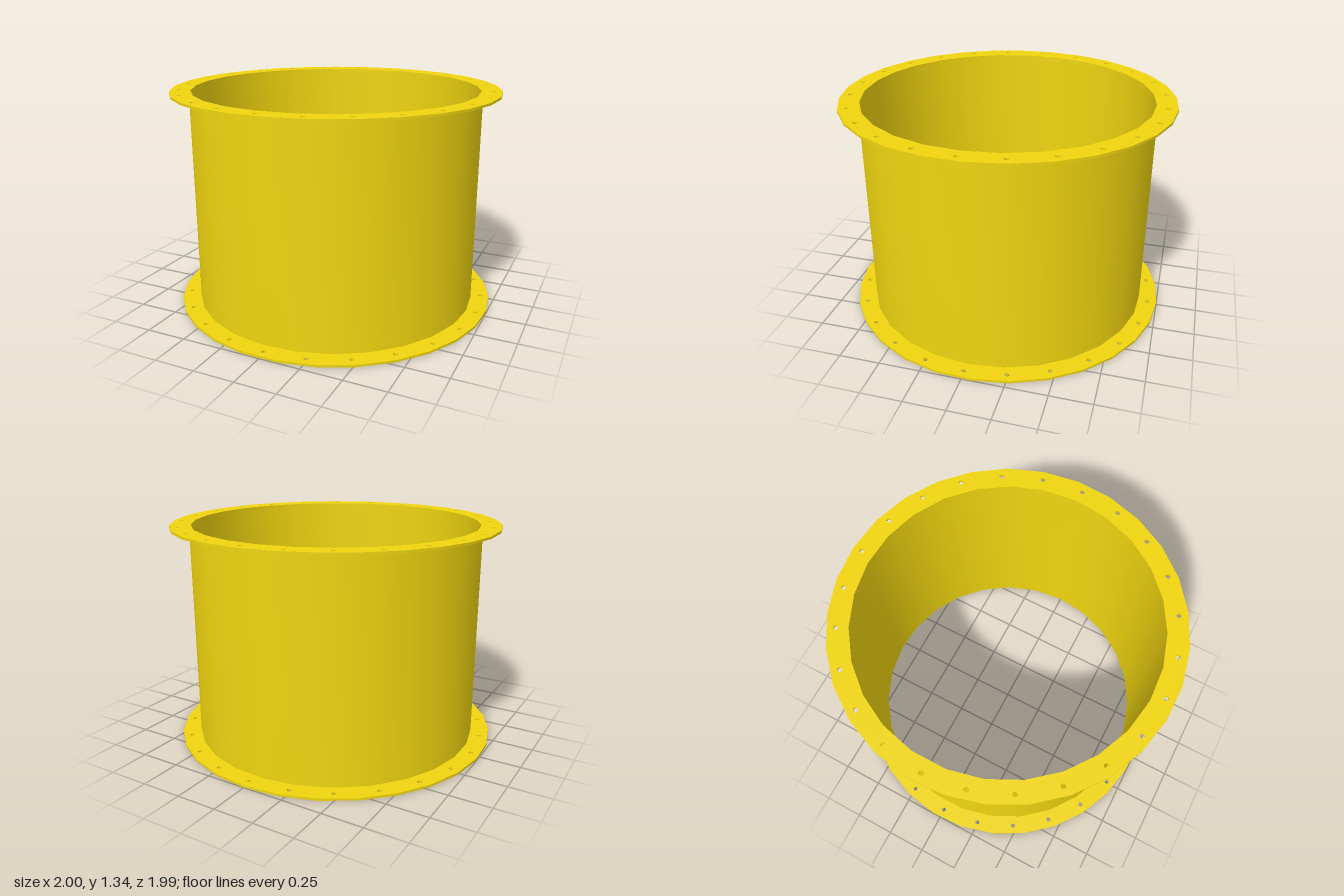
import * as THREE from 'three';
import { toCreasedNormals } from 'three/addons/utils/BufferGeometryUtils.js';

const HEIGHT = 1.34, THICK = 0.014;
const INNER = 0.875, WALL = 0.886, OUTER = 1, BOLT_CIRCLE = 0.945, BOLT_HOLE = 0.014;
const WALL_SIDES = 27, RIM_SIDES = 29, BOLTS = 24;

// Regular polygon points around a centre
function ring(radius, sides, start = 0, cx = 0, cy = 0) {
  return Array.from({ length: sides }, (_, i) => {
    const a = start + (i / sides) * Math.PI * 2;
    return new THREE.Vector2(cx + radius * Math.cos(a), cy + radius * Math.sin(a));
  });
}

// Flat ring with a circle of bolt holes
function flangeGeometry() {
  const shape = new THREE.Shape(ring(OUTER, RIM_SIDES, Math.PI / 2));
  shape.holes.push(new THREE.Path(ring(INNER, WALL_SIDES)));
  for (let i = 0; i < BOLTS; i++) {
    const a = (i / BOLTS) * Math.PI * 2;
    const x = BOLT_CIRCLE * Math.cos(a), y = BOLT_CIRCLE * Math.sin(a);
    shape.holes.push(new THREE.Path(ring(BOLT_HOLE, 12, 0, x, y)));
  }
  const geometry = new THREE.ExtrudeGeometry(shape, { depth: THICK, bevelEnabled: false });
  geometry.rotateX(-Math.PI / 2);
  return toCreasedNormals(geometry, 0.6);
}

// Thin tube between the flanges: outside upward, inside downward
function wallGeometry() {
  const top = HEIGHT - THICK;
  const profile = [[WALL, THICK], [WALL, top], [INNER, top], [INNER, THICK], [WALL, THICK]]
    .map(([r, y]) => new THREE.Vector2(r, y));
  return toCreasedNormals(new THREE.LatheGeometry(profile, WALL_SIDES, Math.PI / 2), 0.6);
}

export function createModel() {
  const group = new THREE.Group();
  group.name = 'flangedDuct';
  const material = new THREE.MeshStandardMaterial({ color: 0xf0d50f });

  const add = (name, geometry, y = 0) => {
    const mesh = new THREE.Mesh(geometry, material);
    mesh.name = name;
    mesh.position.y = y;
    group.add(mesh);
  };

  const flange = flangeGeometry();
  add('ductWall', wallGeometry());
  add('bottomFlange', flange);
  add('topFlange', flange, HEIGHT - THICK);
  return group;
}
